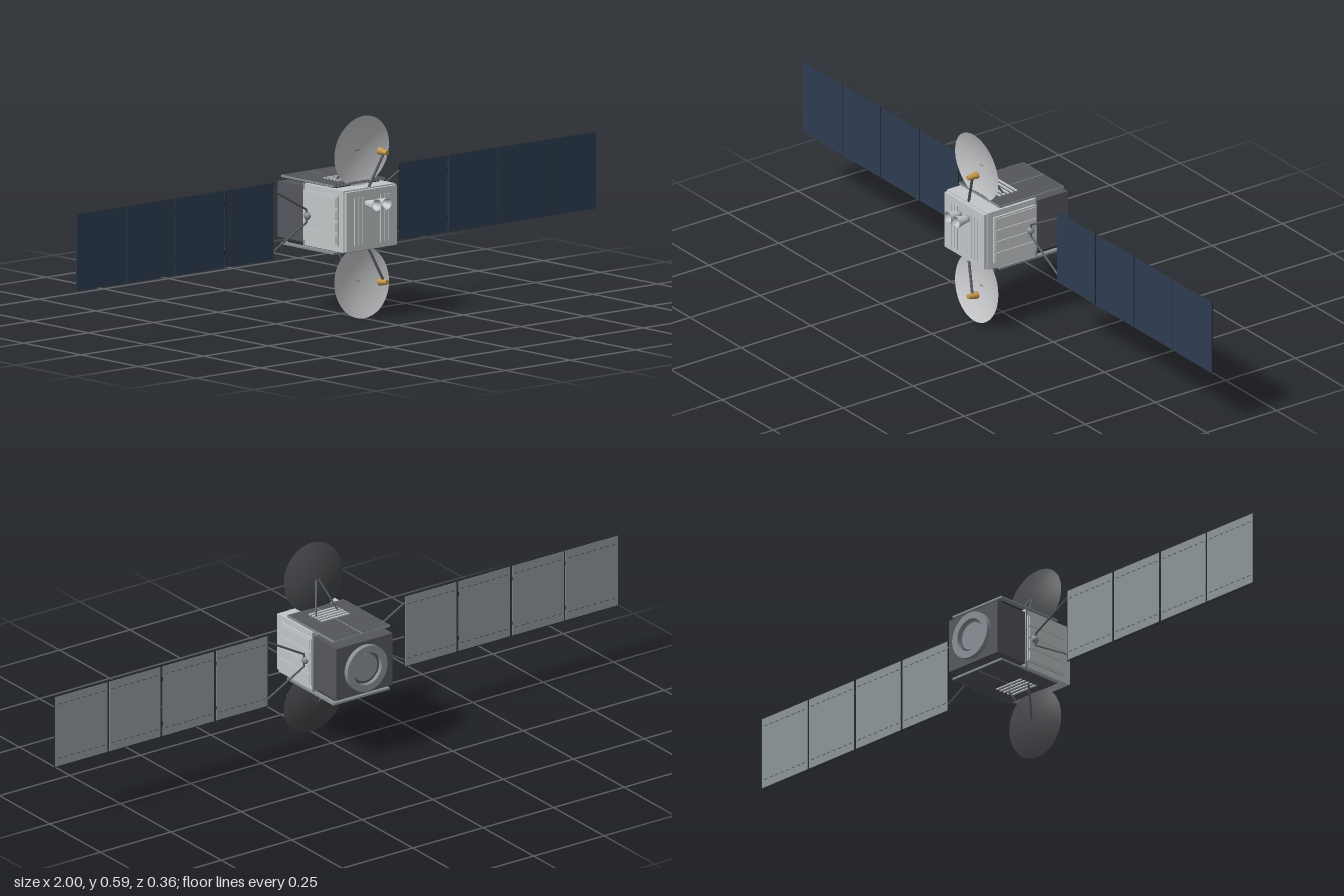
import * as THREE from 'three';

const mat = (name, color, side = THREE.FrontSide) => {
  const m = new THREE.MeshStandardMaterial({ color, side });
  m.name = name;
  return m;
};
const M = {
  light: mat('light grey body', 0xc2c6c8),
  dark: mat('charcoal', 0x55565c),
  black: mat('dark edge', 0x2b2d30),
  frame: mat('blue grey frame', 0x868d93),
  rod: mat('strut grey', 0x565a5d),
  cell: mat('solar blue', 0x2e3d52),
  back: mat('array back', 0x8b9398),
  dish: mat('dish front', 0xc8c9cb),
  dishBack: mat('dish back', 0x46484b),
  gold: mat('feed gold', 0xc0954a),
};
const CY = 0.297; // height of the main axis

function add(parent, name, geo, material, x = 0, y = 0, z = 0) {
  const mesh = new THREE.Mesh(geo, material);
  mesh.name = name;
  mesh.position.set(x, y, z);
  parent.add(mesh);
  return mesh;
}
const box = (parent, name, m, w, h, d, x, y, z) =>
  add(parent, name, new THREE.BoxGeometry(w, h, d), m, x, y, z);

// tapered bar from point a to point b
function bar(parent, name, m, a, b, r0, r1 = r0, sides = 10) {
  const p = new THREE.Vector3(...a), q = new THREE.Vector3(...b);
  const dir = q.clone().sub(p);
  const mesh = add(parent, name, new THREE.CylinderGeometry(r1, r0, dir.length(), sides), m);
  mesh.position.copy(p).add(q).multiplyScalar(0.5);
  mesh.quaternion.setFromUnitVectors(new THREE.Vector3(0, 1, 0), dir.normalize());
  return mesh;
}

function makeBody() {
  const g = new THREE.Group();
  g.name = 'body';
  box(g, 'frontModule', M.light, 0.2, 0.181, 0.175, 0, 0, 0.0375);
  box(g, 'frontPlate', M.light, 0.194, 0.174, 0.011, 0, 0, 0.13);
  box(g, 'rearModule', M.dark, 0.198, 0.163, 0.113, 0, 0, -0.106);
  box(g, 'collar', M.frame, 0.204, 0.184, 0.006, 0, 0, -0.047);

  // ribs on the front plate
  for (const s of [-1, 1]) {
    for (const x of [0.035, 0.05, 0.065])
      box(g, 'frontRib', M.light, 0.007, 0.14, 0.004, s * x, -0.003, 0.1365);
  }
  // horn nozzles
  for (const s of [-1, 1]) {
    const horn = new THREE.LatheGeometry([
      [0, 0], [0.009, 0], [0.011, 0.012], [0.018, 0.044], [0.016, 0.044], [0.008, 0.012], [0, 0.01],
    ].map(p => new THREE.Vector2(...p)), 20);
    add(g, 'hornNozzle', horn, M.light, s * 0.02, 0.047, 0.135).rotation.x = Math.PI / 2;
  }
  // side radiator panels with slats
  for (const s of [-1, 1]) {
    box(g, 'sidePanel', M.light, 0.006, 0.146, 0.15, s * 0.103, 0, 0.03);
    for (let i = 0; i < 4; i++)
      box(g, 'sideSlat', M.light, 0.004, 0.028, 0.142, s * 0.107, -0.054 + i * 0.036, 0.03);
  }
  // docking ring at the rear
  const ring = new THREE.LatheGeometry([
    [0.071, 0], [0.071, 0.016], [0.05, 0.016], [0.05, 0.003],
  ].flatMap((p, i, a) => i ? [new THREE.Vector2(...a[i - 1]).lerp(new THREE.Vector2(...p), 0.01), new THREE.Vector2(...p)] : [new THREE.Vector2(...p)]), 40);
  add(g, 'rearRing', ring, M.frame, 0, 0, -0.162).rotation.x = -Math.PI / 2;
  add(g, 'rearDisc', new THREE.CylinderGeometry(0.042, 0.042, 0.006, 32), M.frame, 0, 0, -0.164)
    .rotation.x = Math.PI / 2;
  return g;
}

// equipment deck, dish and feed; s = 1 for the upper set, -1 for the lower
function makeDeck(s) {
  const g = new THREE.Group();
  g.name = s > 0 ? 'upperDeck' : 'lowerDeck';
  box(g, 'deckBase', M.black, 0.17, 0.006, 0.205, 0, s * 0.0925, -0.031);
  box(g, 'deckFrame', M.frame, 0.2, 0.006, 0.23, 0, s * 0.0985, -0.033);
  for (const x of [-1, 1])
    box(g, 'deckPanel', M.dark, 0.095, 0.001, 0.226, x * 0.05, s * 0.102, -0.033);
  for (let i = 0; i < 5; i++)
    box(g, 'louvre', M.light, 0.1, 0.004, 0.006, 0, s * 0.104, -0.016 + i * 0.0145);

  // dish: shallow bowl with a dark back shell
  const bowl = (depth) => Array.from({ length: 11 }, (_, i) =>
    new THREE.Vector2(0.105 * i / 10, depth * ((i / 10) ** 2 - 1)));
  const dish = new THREE.Group();
  dish.name = 'dish';
  add(dish, 'dishBack', new THREE.LatheGeometry(bowl(0.021), 40), M.dishBack);
  add(dish, 'dishFront', new THREE.LatheGeometry(bowl(0.018).reverse(), 40), M.dish);
  dish.position.set(0, s * 0.1925, 0.091);
  dish.rotation.x = Math.PI / 2 + s * 0.1;
  g.add(dish);
  for (const x of [-1, 1])
    bar(g, 'dishStrut', M.rod, [x * 0.04, s * 0.1, 0.023], [x * 0.004, s * 0.194, 0.072], 0.003);

  // feed horn on its arm
  bar(g, 'feedArm', M.rod, [0, s * 0.088, 0.12], [0.043, s * 0.187, 0.138], 0.004);
  bar(g, 'feedHorn', M.gold, [0.043, s * 0.192, 0.121], [0.043, s * 0.1895, 0.154], 0.0115, 0.007, 16);
  return g;
}

// solar wing; s = 1 for the left side, -1 for the right
function makeWing(s) {
  const g = new THREE.Group();
  g.name = s > 0 ? 'leftWing' : 'rightWing';
  const z = -0.021, w = 0.19, h = 0.225;
  add(g, 'hub', new THREE.SphereGeometry(0.0125, 20, 14), M.frame, s * 0.108, 0, z);
  bar(g, 'hubPost', M.rod, [s * 0.113, -0.02, z], [s * 0.113, 0.02, z], 0.003);
  for (const v of [-1, 1])
    bar(g, 'yokeArm', M.rod, [s * 0.112, v * 0.018, z], [s * 0.243, v * 0.09, z], 0.003);
  for (let i = 0; i < 4; i++) {
    const x = s * (0.24 + w * (i + 0.5));
    const pw = w - (i < 3 ? 0.004 : 0);
    box(g, 'panelCore', M.black, pw, h, 0.003, x, 0, z);
    box(g, 'solarCells', M.cell, pw - 0.001, h - 0.001, 0.001, x, 0, z + 0.002);
    box(g, 'panelBack', M.back, pw - 0.004, h - 0.006, 0.001, x, 0, z - 0.002);
    // hinges and dashed wiring on the rear
    for (const v of [-1, 1]) {
      if (i < 3) box(g, 'hinge', M.black, 0.012, 0.012, 0.002, s * (0.24 + w * (i + 1)), v * 0.07, z - 0.001);
      for (let k = 0; k < 8; k++)
        box(g, 'wiring', M.rod, 0.012, 0.0025, 0.001, x + (k - 3.5) * 0.022, v * 0.085, z - 0.0027);
    }
  }
  return g;
}

export function createModel() {
  const model = new THREE.Group();
  model.name = 'satellite';
  model.add(makeBody(), makeDeck(1), makeDeck(-1), makeWing(1), makeWing(-1));
  for (const part of model.children) part.position.y = CY;
  return model;
}
